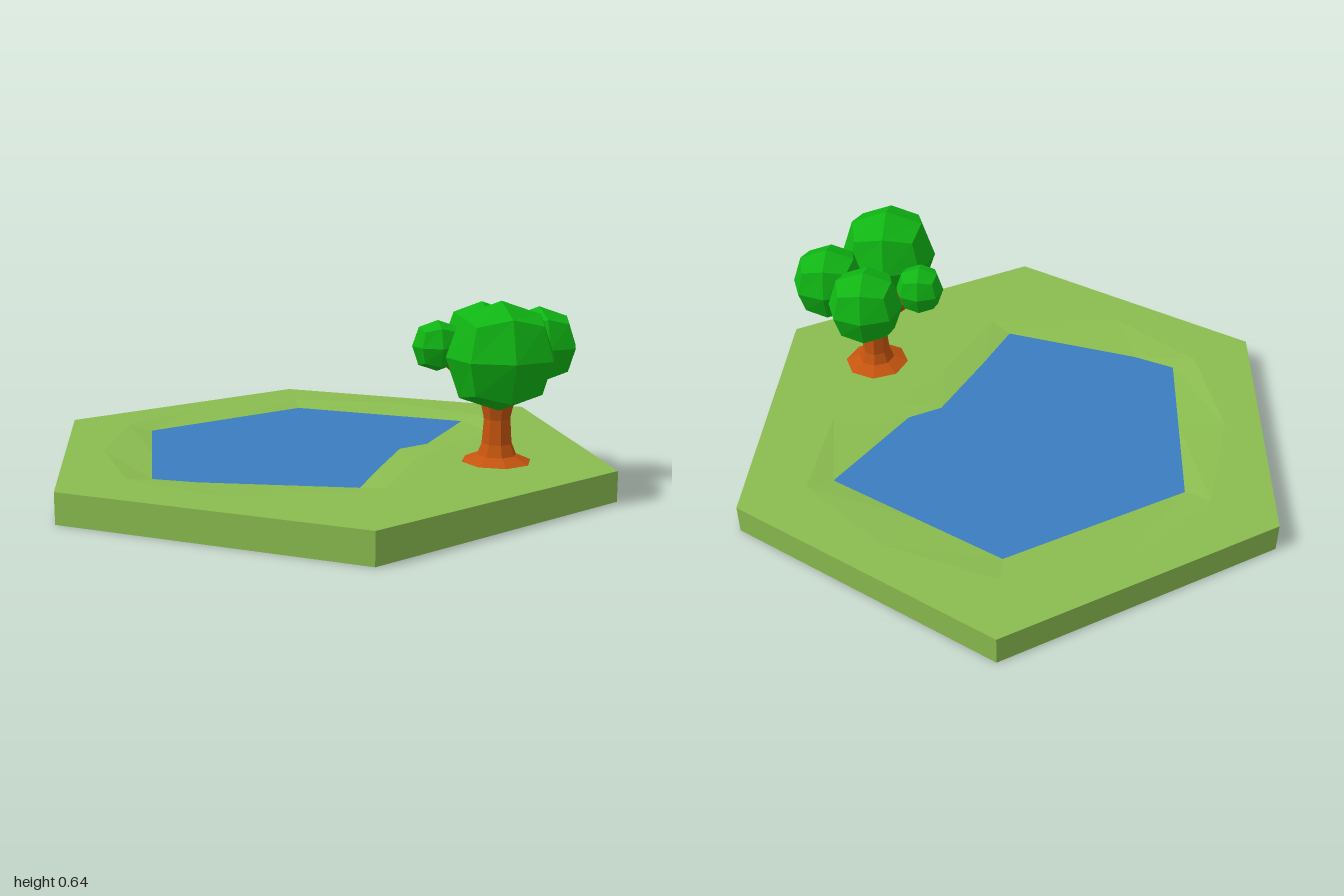
import * as THREE from 'three';

const TOP = 0.1, WATER = 0.086;

const paint = (color) => new THREE.MeshStandardMaterial({ color, flatShading: true });

// Matching [x, z] outlines: where the bank starts, and where it meets the water
const RIM = [[0, -0.77], [0.38, -0.64], [0.66, -0.39], [0.63, -0.03], [0.43, 0.07], [0.27, 0.26],
  [0.11, 0.59], [-0.38, 0.62], [-0.66, 0.38], [-0.74, 0], [-0.66, -0.39], [-0.41, -0.63]];
const SHORE = [[0, -0.67], [0.29, -0.505], [0.58, -0.34], [0.37, 0], [0.26, 0.06], [0.13, 0.33],
  [0.04, 0.53], [-0.44, 0.4], [-0.58, 0.34], [-0.58, 0], [-0.58, -0.34], [-0.29, -0.505]];

const toVectors = (outline) => outline.map(([x, z]) => new THREE.Vector2(x, -z));

// Flat horizontal sheet, with an optional hole
function sheet(outline, y, hole) {
  const shape = new THREE.Shape(toVectors(outline));
  if (hole) shape.holes.push(new THREE.Path(toVectors(hole)));
  return new THREE.ShapeGeometry(shape).rotateX(-Math.PI / 2).translate(0, y, 0);
}

// Sloping ring between the rim and the shore
function bankGeometry() {
  const positions = [];
  RIM.forEach((a, i) => {
    const j = (i + 1) % RIM.length;
    const r0 = [a[0], TOP, a[1]], r1 = [RIM[j][0], TOP, RIM[j][1]];
    const s0 = [SHORE[i][0], WATER, SHORE[i][1]], s1 = [SHORE[j][0], WATER, SHORE[j][1]];
    positions.push(...r0, ...s0, ...r1, ...r1, ...s0, ...s1);
  });
  const geometry = new THREE.BufferGeometry();
  geometry.setAttribute('position', new THREE.Float32BufferAttribute(positions, 3));
  geometry.computeVertexNormals();
  return geometry;
}

// Cube of 2 x 2 faces per side, swollen into a faceted ball
function ballGeometry(radius) {
  const geometry = new THREE.BoxGeometry(2, 2, 2, 2, 2, 2);
  const pos = geometry.attributes.position, v = new THREE.Vector3();
  for (let i = 0; i < pos.count; i++) {
    v.fromBufferAttribute(pos, i);
    const faceCentre = v.length() < 1.1;
    v.setLength(radius * (faceCentre ? 1 : 1.05));
    pos.setXYZ(i, v.x, v.y, v.z);
  }
  geometry.computeVertexNormals();
  return geometry;
}

// Tapered limb between two points
function limbGeometry(from, to, r0, r1) {
  const dir = to.clone().sub(from);
  const geometry = new THREE.CylinderGeometry(r1, r0, dir.length(), 6);
  const turn = new THREE.Quaternion().setFromUnitVectors(new THREE.Vector3(0, 1, 0), dir.clone().normalize());
  return geometry.applyQuaternion(turn).translate(...from.clone().add(to).multiplyScalar(0.5).toArray());
}

export function createModel() {
  const model = new THREE.Group();
  const add = (parent, name, geometry, material) => {
    const mesh = new THREE.Mesh(geometry, material);
    mesh.name = name;
    parent.add(mesh);
    return mesh;
  };
  const grass = paint(0x8bbd50), water = paint(0x3c7dc0), bark = paint(0xc4540f), leaves = paint(0x10b514);

  // Hexagonal tile with a pond sunk into it
  const tile = new THREE.Group();
  tile.name = 'tile';
  model.add(tile);
  const hexagon = Array.from({ length: 6 }, (_, i) => [Math.sin(i * Math.PI / 3), Math.cos(i * Math.PI / 3)]);
  add(tile, 'grassTop', sheet(hexagon, TOP, RIM), grass);
  add(tile, 'tileSides', new THREE.CylinderGeometry(1, 1, TOP, 6, 1, true).translate(0, TOP / 2, 0), grass);
  add(tile, 'tileBottom', new THREE.CircleGeometry(1, 6, Math.PI / 2).rotateX(Math.PI / 2), grass);
  add(tile, 'pondBank', bankGeometry(), grass);
  add(tile, 'pondWater', sheet(SHORE, WATER), water);

  // Tree with a flared foot
  const tree = new THREE.Group();
  tree.name = 'tree';
  model.add(tree);
  const profile = [[0.115, 0.1], [0.065, 0.122], [0.05, 0.16], [0.044, 0.24], [0.055, 0.29], [0.075, 0.335], [0, 0.37]];
  const trunk = new THREE.LatheGeometry(profile.map(([r, y]) => new THREE.Vector2(r, y)), 8);
  add(tree, 'trunk', trunk.translate(0.525, 0, 0.315), bark);

  // Leaf balls, each on its own branch: x, y, z, radius
  const fork = new THREE.Vector3(0.525, 0.3, 0.315);
  const balls = [[0.48, 0.47, 0.48, 0.17], [0.665, 0.47, 0.28, 0.126], [0.515, 0.47, 0.135, 0.128], [0.34, 0.47, 0.245, 0.083]];
  for (const [x, y, z, r] of balls) {
    const centre = new THREE.Vector3(x, y, z);
    add(tree, 'branch', limbGeometry(fork, centre, 0.045, 0.03), bark);
    add(tree, 'leafBall', ballGeometry(r), leaves).position.copy(centre);
  }
  return model;
}
